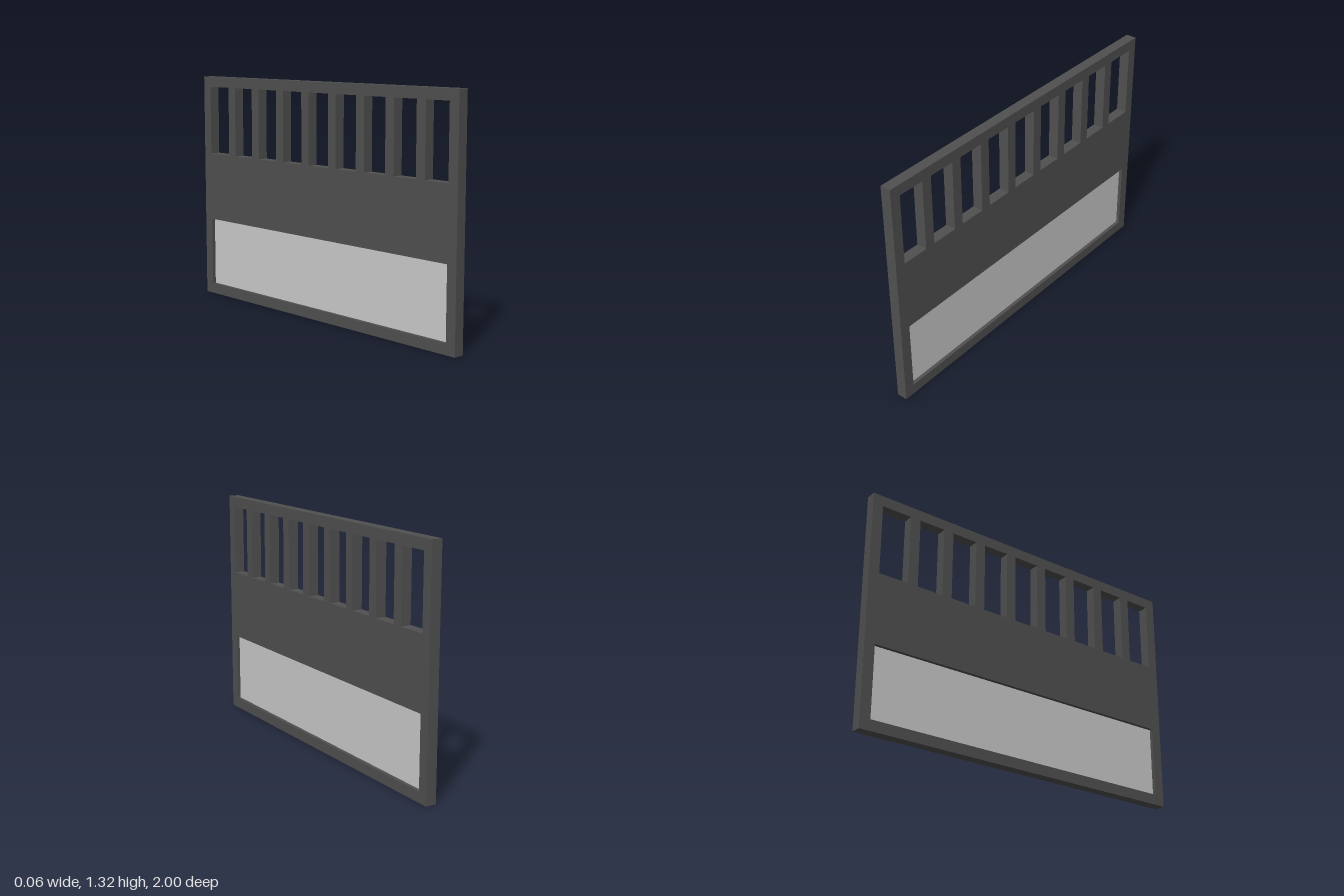
import * as THREE from 'three';

const THICK = 0.06, HEIGHT = 1.32, BORDER = 0.06;
const PITCH = 1.92 / 9, GAP = PITCH - BORDER; // spacing and width of the upper openings

// Traces a rectangle into a Shape or Path
function rect(path, x0, y0, x1, y1) {
  path.moveTo(x0, y0);
  path.lineTo(x1, y0);
  path.lineTo(x1, y1);
  path.lineTo(x0, y1);
  path.closePath();
  return path;
}

export function createModel() {
  const model = new THREE.Group();
  model.name = 'barredPanel';

  // Frame: outline with one wide lower opening and nine barred upper openings
  const inner = 1 - BORDER;
  const outline = rect(new THREE.Shape(), -1, 0, 1, HEIGHT);
  outline.holes.push(rect(new THREE.Path(), -inner, 0.06, inner, 0.46));
  for (let i = 0; i < 9; i++) {
    const start = -inner + i * PITCH;
    const end = i === 8 ? inner : start + GAP; // the last opening is slightly wider
    outline.holes.push(rect(new THREE.Path(), start, 0.86, end, HEIGHT - BORDER));
  }
  const frameGeometry = new THREE.ExtrudeGeometry(outline, { depth: THICK, bevelEnabled: false });
  frameGeometry.translate(0, 0, -THICK / 2);
  frameGeometry.rotateY(Math.PI / 2);
  const frame = new THREE.Mesh(frameGeometry, new THREE.MeshStandardMaterial({ color: 0x505050 }));
  frame.name = 'frame';
  model.add(frame);

  // Thin infill recessed on both sides of the lower opening
  const infill = new THREE.Mesh(
    new THREE.BoxGeometry(0.02, 0.4, inner * 2),
    new THREE.MeshStandardMaterial({ color: 0xcccccc })
  );
  infill.name = 'lowerInfill';
  infill.position.y = 0.26;
  model.add(infill);

  return model;
}
